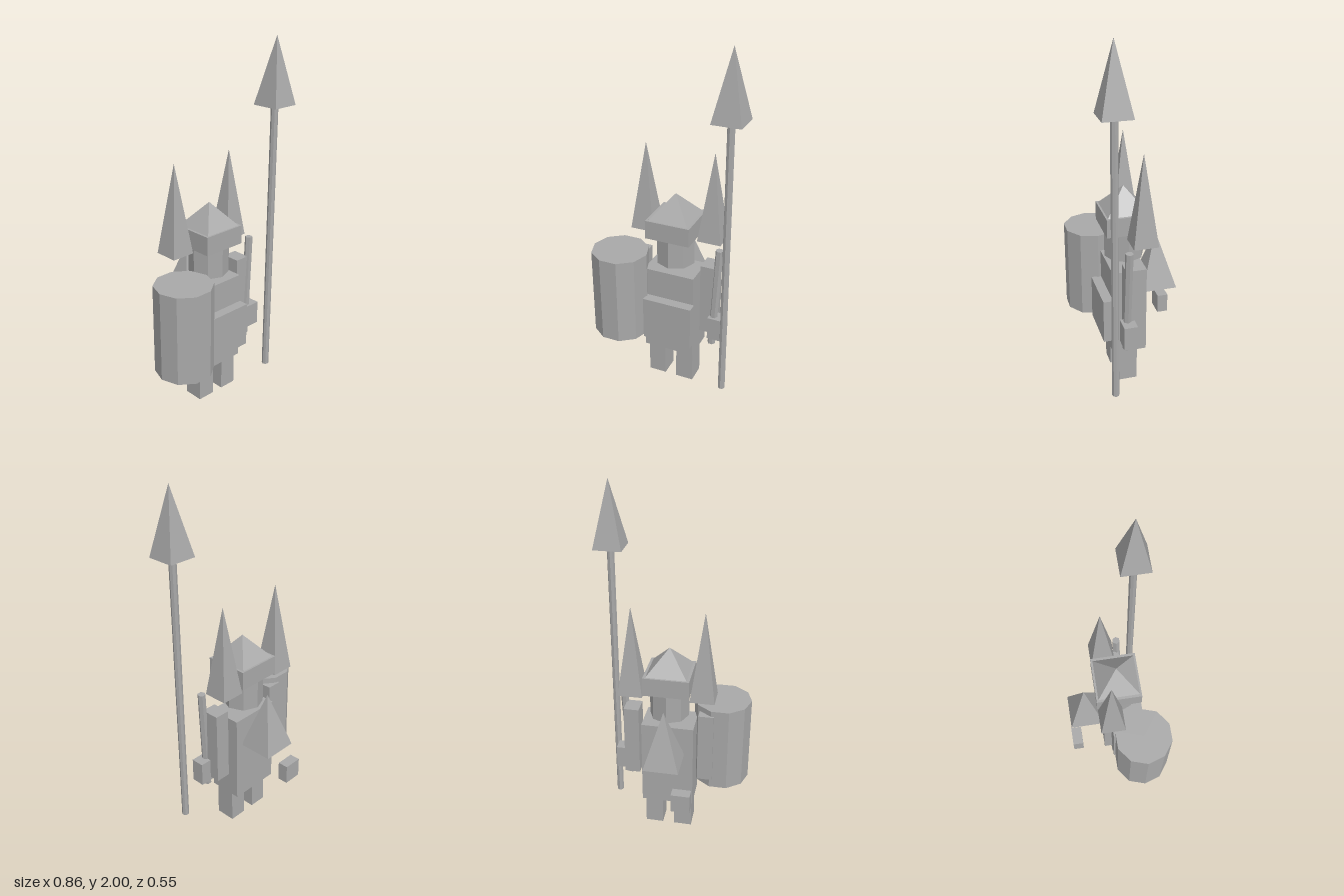
import * as THREE from 'three';

export function createModel() {
  const model = new THREE.Group();
  model.name = 'spearWarrior';
  const grey = new THREE.MeshStandardMaterial({ color: 0xa8a8a8 });
  grey.name = 'stoneGrey';

  function add(name, geometry) {
    const mesh = new THREE.Mesh(geometry, grey);
    mesh.name = name;
    model.add(mesh);
    return mesh;
  }

  // box from its lowest to its highest corner
  function box(name, [x0, y0, z0], [x1, y1, z1]) {
    add(name, new THREE.BoxGeometry(x1 - x0, y1 - y0, z1 - z0))
      .position.set((x0 + x1) / 2, (y0 + y1) / 2, (z0 + z1) / 2);
  }

  // square pyramid standing on y0
  function pyramid(name, x, z, half, y0, y1) {
    const g = new THREE.ConeGeometry(half * Math.SQRT2, y1 - y0, 4).rotateY(Math.PI / 4);
    add(name, g.toNonIndexed()).position.set(x, (y0 + y1) / 2, z);
    const m = model.children[model.children.length - 1];
    m.geometry.computeVertexNormals();
  }

  // faceted prism between two points
  function prism(name, from, to, radius, sides) {
    const a = new THREE.Vector3(...from), b = new THREE.Vector3(...to);
    const dir = b.clone().sub(a);
    const g = new THREE.CylinderGeometry(radius, radius, dir.length(), sides)
      .rotateY(Math.PI / 2).toNonIndexed();
    g.computeVertexNormals();
    const mesh = add(name, g);
    mesh.position.copy(a).add(b).multiplyScalar(0.5);
    mesh.quaternion.setFromUnitVectors(new THREE.Vector3(0, 1, 0), dir.normalize());
  }

  const mid = 0.013; // the figure's own centre line

  // legs, arms and shoulder spikes come in pairs
  for (const [side, s] of [['left', 1], ['right', -1]]) {
    const span = (a, b) => [mid + s * a, mid + s * b].sort((p, q) => p - q);
    const [l0, l1] = span(0.034, 0.135);
    box(side + 'Leg', [l0, 0, -0.035], [l1, 0.2, 0.078]);
    const [a0, a1] = span(0.167, 0.253);
    box(side + 'Arm', [a0, 0.355, -0.043], [a1, 0.775, 0.06]);
    pyramid(side + 'ShoulderSpike', mid + s * 0.196, -0.045, 0.067, 0.9, 1.395);
  }

  // torso with its front plate
  box('body', [-0.135, 0.2, -0.085], [0.157, 0.71, 0.105]);
  box('frontPlate', [-0.12, 0.29, 0.105], [0.164, 0.545, 0.16]);

  // head and helmet
  prism('head', [mid, 0.75, 0.005], [mid, 0.917, 0.005], 0.11, 8);
  box('helmetBand', [-0.113, 0.917, -0.115], [0.139, 1.022, 0.13]);
  pyramid('helmetTop', mid, 0.008, 0.112, 1.022, 1.155);

  // back gear
  pyramid('backSpike', mid, -0.175, 0.098, 0.54, 0.86);
  box('backPouch', [-0.15, 0.29, -0.278], [-0.045, 0.4, -0.218]);

  // barrel-shaped shield on the right side
  prism('shield', [-0.272, 0.3, 0.12], [-0.272, 0.807, 0.12], 0.16, 10);

  // left hand gripping a tilted club
  box('leftHand', [0.237, 0.335, 0.014], [0.33, 0.47, 0.088]);
  prism('club', [0.253, 0.29, 0.056], [0.283, 0.89, 0.049], 0.022, 6);

  // spear
  prism('spearShaft', [0.353, 0.07, 0.144], [0.353, 1.65, 0.144], 0.02, 8);
  pyramid('spearHead', 0.353, 0.144, 0.077, 1.645, 2);

  return model;
}
